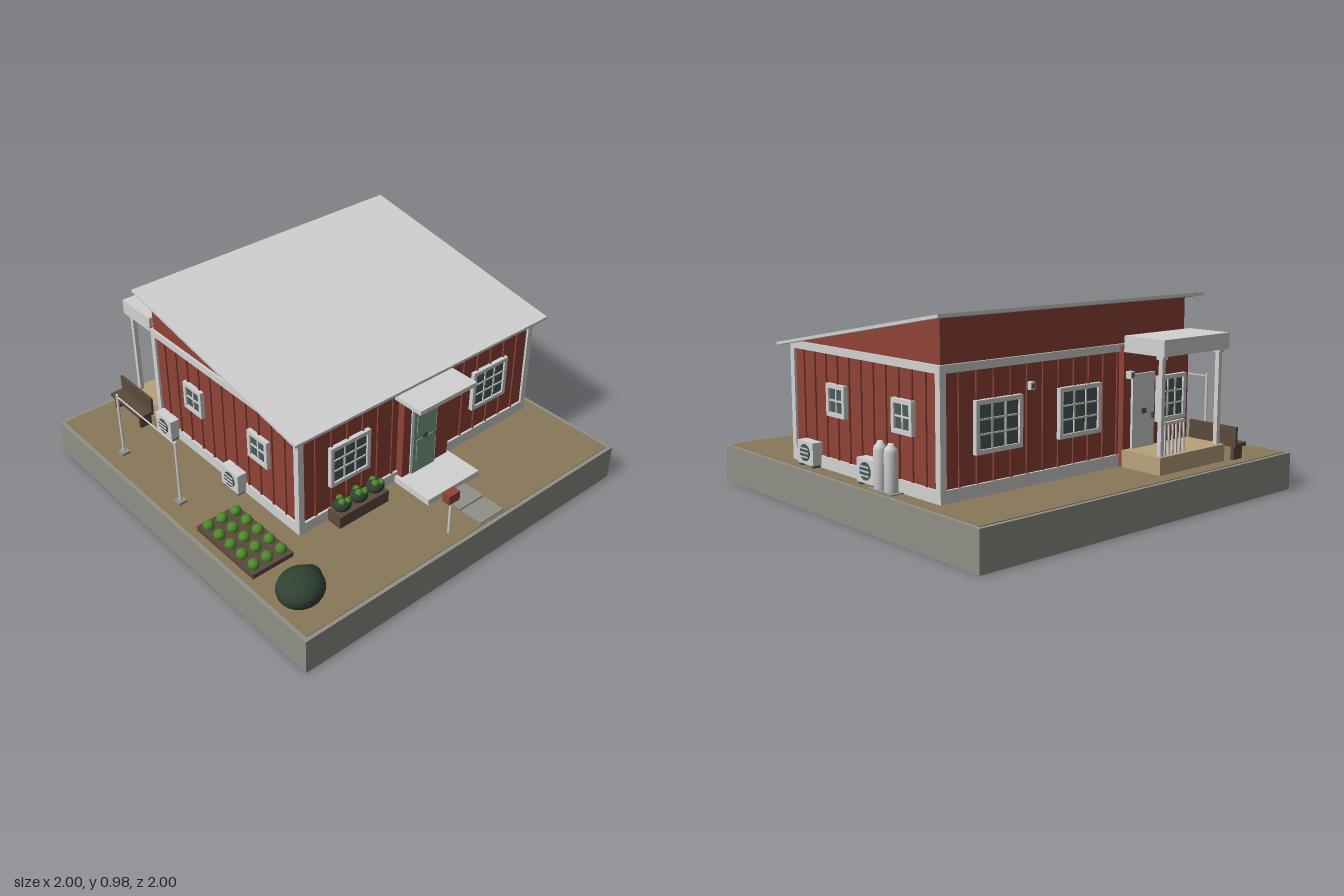
import * as THREE from 'three';

const mat = (name, color, side = THREE.FrontSide) => {
  const m = new THREE.MeshStandardMaterial({ color, side });
  m.name = name;
  return m;
};

export function createModel() {
  const root = new THREE.Group();
  root.name = 'cottageDiorama';
  const red = mat('barn red', 0x8e4335), white = mat('light grey', 0xd2d2d2),
    green = mat('door green', 0x7aa086), glass = mat('glass', 0x4a5a5a),
    wood = mat('dark wood', 0x5a4a3c), deckTan = mat('deck tan', 0xb8a27c),
    bushGreen = mat('bush green', 0x2f4232), leaf = mat('leaf green', 0x4c8a2c),
    soil = mat('soil', 0x8a7859), stone = mat('concrete', 0x8f9087);

  const add = (parent, name, geo, m) => {
    const mesh = new THREE.Mesh(geo, m);
    mesh.name = name;
    parent.add(mesh);
    return mesh;
  };
  // Box from its limits on each axis
  const box = (p, name, m, x0, x1, y0, y1, z0, z1) => {
    const b = add(p, name, new THREE.BoxGeometry(x1 - x0, y1 - y0, z1 - z0), m);
    b.position.set((x0 + x1) / 2, (y0 + y1) / 2, (z0 + z1) / 2);
    return b;
  };
  const rod = (p, name, m, r, x, y0, y1, z, sides = 10) => {
    const c = add(p, name, new THREE.CylinderGeometry(r, r, y1 - y0, sides), m);
    c.position.set(x, (y0 + y1) / 2, z);
    return c;
  };
  const group = (name, x = 0, y = 0, z = 0, turn = 0) => {
    const g = new THREE.Group();
    g.name = name;
    g.position.set(x, y, z);
    g.rotation.y = turn;
    root.add(g);
    return g;
  };
  // Side profile of (z, y) points swept from x0 to x1
  const sweep = (p, name, m, pts, x0, x1) => {
    const shape = new THREE.Shape(pts.map(([z, y]) => new THREE.Vector2(-z, y)));
    const geo = new THREE.ExtrudeGeometry(shape, { depth: x1 - x0, bevelEnabled: false });
    geo.rotateY(Math.PI / 2).translate(x0, 0, 0);
    return add(p, name, geo, m);
  };
  const blob = (p, name, m, x, y, z, rx, ry, rz, detail = 2) => {
    const geo = new THREE.IcosahedronGeometry(1, detail);
    geo.scale(rx, ry, rz);
    geo.computeVertexNormals();
    add(p, name, geo, m).position.set(x, y, z);
  };

  // Ground block
  const G = 0.185;
  const ground = group('ground');
  box(ground, 'base', stone, -1, 1, 0, G, -1, 1);
  box(ground, 'soilTop', soil, -0.98, 0.98, G - 0.002, G + 0.003, -0.98, 0.98);
  for (const z of [0.72, 0.85]) box(ground, 'pathSlab', stone, 0.07, 0.225, G, G + 0.01, z, z + 0.12);

  // House body and mono-pitch roof
  const X0 = -0.6, X1 = 0.9, ZF = 0.475, ZB = -0.64;
  const house = group('house');
  sweep(house, 'walls', red, [[ZF, G], [ZB, G], [ZB, 0.951], [ZF, 0.748]], X0, X1);
  sweep(house, 'roof', white, [[0.53, 0.738], [0.53, 0.752], [-0.705, 0.975], [-0.705, 0.961]], -0.66, 0.96);
  const t = 0.012;
  const bands = [['foundationBand', G, 0.245], ['trimBand', 0.727, 0.762]];
  for (const [name, y0, y1] of bands) {
    const front = Math.min(y1, 0.746);
    box(house, name, white, X0 - t, X1 + t, y0, front, ZF, ZF + t);
    box(house, name, white, X0 - t, X1 + t, y0, y1, ZB - t, ZB);
    box(house, name, white, X0 - t, X0, y0, y1, ZB, ZF);
    box(house, name, white, X1, X1 + t, y0, y1, ZB, ZF);
  }
  for (const x of [X0, X1]) for (const z of [ZF, ZB]) {
    const ix = x > 0 ? -1 : 1, iz = z > 0 ? -1 : 1;
    const xs = [x - ix * t, x + ix * 0.02].sort((a, b) => a - b);
    const zs = [z - iz * t, z + iz * 0.02].sort((a, b) => a - b);
    box(house, 'cornerTrim', white, xs[0], xs[1], G, 0.745, zs[0], zs[1]);
  }
  // Vertical battens
  const b = 0.005, d = 0.008;
  for (let i = 1; i < 16; i++) {
    const x = X0 + i * (X1 - X0) / 16;
    box(house, 'batten', red, x - b, x + b, 0.245, 0.73, ZF, ZF + d);
    box(house, 'batten', red, x - b, x + b, 0.245, 0.73, ZB - d, ZB);
  }
  for (let i = 1; i < 12; i++) {
    const z = ZB + i * (ZF - ZB) / 12;
    box(house, 'batten', red, X0 - d, X0, 0.245, 0.73, z - b, z + b);
    box(house, 'batten', red, X1, X1 + d, 0.245, 0.73, z - b, z + b);
  }

  // Windows, built facing +z
  const windowUnit = (x, y, z, turn, w, h, cols, rows) => {
    const g = group('window', x, y, z, turn), f = 0.02, W = w / 2, H = h / 2;
    box(g, 'glass', glass, -W + 0.01, W - 0.01, -H + 0.01, H - 0.01, 0.003, 0.012);
    for (const s of [-1, 1]) {
      box(g, 'frameSide', white, s * (W - f / 2) - f / 2, s * (W - f / 2) + f / 2, -H, H, 0, 0.022);
      box(g, 'frameRail', white, -W, W, s * (H - f / 2) - f / 2, s * (H - f / 2) + f / 2, 0, 0.022);
    }
    for (let i = 1; i < cols; i++) {
      const c = -W + f + i * (w - 2 * f) / cols;
      box(g, 'mullion', white, c - 0.004, c + 0.004, -H + f, H - f, 0.01, 0.017);
    }
    for (let i = 1; i < rows; i++) {
      const c = -H + f + i * (h - 2 * f) / rows;
      box(g, 'mullion', white, -W + f, W - f, c - 0.004, c + 0.004, 0.01, 0.017);
    }
  };
  const Q = Math.PI / 2;
  for (const x of [-0.31, 0.61]) windowUnit(x, 0.485, ZF, 0, 0.24, 0.22, 3, 3);
  for (const x of [0.6, 0.12]) windowUnit(x, 0.485, ZB, Math.PI, 0.26, 0.23, 3, 3);
  windowUnit(-0.46, 0.485, -0.675, Math.PI, 0.2, 0.22, 3, 3);
  for (const z of [0.1, -0.4]) windowUnit(X1, 0.52, z, Q, 0.145, 0.15, 2, 2);
  for (const z of [0.2, -0.31]) windowUnit(X0, 0.52, z, -Q, 0.145, 0.15, 2, 2);

  // Front entrance
  const entry = group('entrance');
  box(entry, 'entryWall', red, 0, 0.305, G, 0.67, ZF, 0.515);
  box(entry, 'canopy', white, -0.032, 0.332, 0.678, 0.7, ZF, 0.65);
  box(entry, 'canopySupport', white, -0.015, 0.315, 0.665, 0.678, ZF, 0.53);
  box(entry, 'frontStep', white, -0.02, 0.32, G, 0.222, ZF, 0.72);
  box(entry, 'doorFrame', white, 0.048, 0.215, 0.222, 0.607, 0.51, 0.522);
  box(entry, 'frontDoor', green, 0.058, 0.205, 0.222, 0.598, 0.515, 0.526);
  box(entry, 'doorPanel', green, 0.078, 0.185, 0.44, 0.57, 0.52, 0.531);
  box(entry, 'doorPanel', green, 0.078, 0.185, 0.295, 0.415, 0.52, 0.531);
  box(entry, 'doorPlate', glass, 0.115, 0.147, 0.415, 0.44, 0.524, 0.533);
  box(entry, 'doorHandle', glass, 0.19, 0.2, 0.395, 0.425, 0.524, 0.54);

  // Wall lamps
  for (const [x, y, z, turn] of [[0.262, 0.6, 0.515, 0], [0.42, 0.63, ZB, Math.PI], [-0.17, 0.62, -0.675, Math.PI]]) {
    const g = group('wallLamp', x, y, z, turn);
    box(g, 'lampBody', white, -0.014, 0.014, -0.017, 0.017, 0, 0.03);
    box(g, 'lampLens', glass, -0.008, 0.008, -0.01, 0.01, 0.026, 0.032);
  }

  // Back porch
  const porch = group('backPorch');
  box(porch, 'porchWall', red, -0.595, -0.14, G, 0.755, -0.675, ZB);
  box(porch, 'deck', deckTan, -0.6, -0.14, G, 0.27, -0.905, -0.67);
  box(porch, 'porchRoof', white, -0.6, -0.14, 0.78, 0.803, -0.915, -0.675);
  box(porch, 'fascia', white, -0.6, -0.14, 0.727, 0.78, -0.915, -0.9);
  for (const x of [-0.6, -0.155]) box(porch, 'fascia', white, x, x + 0.015, 0.727, 0.78, -0.9, -0.675);
  for (const x of [-0.57, -0.17]) {
    box(porch, 'porchPost', white, x - 0.011, x + 0.011, 0.27, 0.73, -0.889, -0.867);
    box(porch, 'postCap', white, x - 0.018, x + 0.018, 0.71, 0.73, -0.896, -0.86);
  }
  box(porch, 'handrail', white, -0.33, -0.17, 0.41, 0.424, -0.886, -0.87);
  for (let i = 0; i < 6; i++) {
    const x = -0.2 - i * 0.026;
    box(porch, 'baluster', white, x - 0.004, x + 0.004, 0.27, 0.41, -0.882, -0.874);
  }
  box(porch, 'backDoor', white, -0.34, -0.19, 0.27, 0.62, -0.688, -0.675);
  box(porch, 'backDoorPlate', glass, -0.28, -0.25, 0.43, 0.455, -0.693, -0.685);
  box(porch, 'backDoorHandle', glass, -0.325, -0.315, 0.4, 0.43, -0.7, -0.686);

  // Outdoor climate units, built facing +z
  for (const [x, z, turn] of [[X1, 0.305, Q], [X1, -0.185, Q], [X0, -0.54, -Q], [X0, 0.02, -Q]]) {
    const g = group('climateUnit', x, 0, z, turn);
    box(g, 'casing', white, -0.066, 0.066, 0.2, 0.308, 0.005, 0.058);
    for (const s of [-0.05, 0.05]) box(g, 'foot', glass, s - 0.01, s + 0.01, G, 0.2, 0.01, 0.055);
    const fan = add(g, 'fan', new THREE.CylinderGeometry(0.04, 0.04, 0.008, 20), glass);
    fan.rotation.x = Q;
    fan.position.set(0, 0.255, 0.059);
    for (const y of [0.235, 0.255, 0.275]) box(g, 'grilleBar', white, -0.033, 0.033, y - 0.003, y + 0.003, 0.06, 0.066);
  }

  // Gas tanks
  const tank = [[0, G], [0.03, G], [0.03, 0.365], [0.026, 0.382], [0.016, 0.391], [0.012, 0.402], [0, 0.402]];
  const tanks = group('gasTanks');
  box(tanks, 'tankPad', stone, 0.905, 0.975, G, G + 0.008, -0.4, -0.23);
  for (const z of [-0.275, -0.352])
    add(tanks, 'gasTank', new THREE.LatheGeometry(tank.map(p => new THREE.Vector2(...p)), 20), white).position.set(0.942, 0, z);

  // Front planter
  const planter = group('planter');
  box(planter, 'planterBox', wood, -0.442, -0.138, G, 0.252, ZF + t, 0.572);
  for (const x of [-0.393, -0.29, -0.187]) {
    blob(planter, 'shrub', bushGreen, x, 0.285, 0.53, 0.047, 0.036, 0.042);
    for (const [dx, dy, dz] of [[-0.012, 0.026, 0.012], [0.017, 0.022, 0.018], [0, 0.024, -0.018]])
      blob(planter, 'sprout', leaf, x + dx, 0.285 + dy, 0.53 + dz, 0.018, 0.016, 0.018, 1);
  }

  // Vegetable bed
  const bed = group('vegetableBed');
  box(bed, 'bedBox', wood, -0.944, -0.716, G, 0.212, 0.15, 0.572);
  for (const x of [-0.905, -0.83, -0.752]) for (let i = 0; i < 5; i++)
    blob(bed, 'lettuce', leaf, x, 0.225, 0.192 + i * 0.084, 0.027, 0.027, 0.027);

  // Corner bush
  const bush = group('bush');
  blob(bush, 'bushMain', bushGreen, -0.865, 0.266, 0.805, 0.112, 0.084, 0.103, 3);
  blob(bush, 'bushSide', bushGreen, -0.782, 0.243, 0.765, 0.056, 0.056, 0.056, 3);

  // Mailbox
  const mail = group('mailbox');
  rod(mail, 'mailPost', white, 0.007, -0.08, G, 0.38, 0.912);
  box(mail, 'mailBody', red, -0.114, -0.047, 0.38, 0.428, 0.89, 0.933);

  // Clothesline
  const line = group('clothesline');
  for (const z of [-0.56, -0.065]) {
    box(line, 'postFoot', stone, -0.909, -0.863, G, 0.2, z - 0.023, z + 0.023);
    rod(line, 'linePost', white, 0.007, -0.886, G, 0.54, z);
  }
  box(line, 'cord', white, -0.888, -0.882, 0.525, 0.53, -0.56, -0.065);

  // Bench
  const bench = group('bench');
  box(bench, 'seat', wood, -0.718, -0.638, 0.252, 0.27, -0.942, -0.66);
  box(bench, 'backrest', wood, -0.65, -0.636, 0.27, 0.35, -0.942, -0.66);
  for (const z of [-0.925, -0.695]) box(bench, 'benchLeg', wood, -0.71, -0.645, G, 0.252, z, z + 0.018);

  return root;
}
